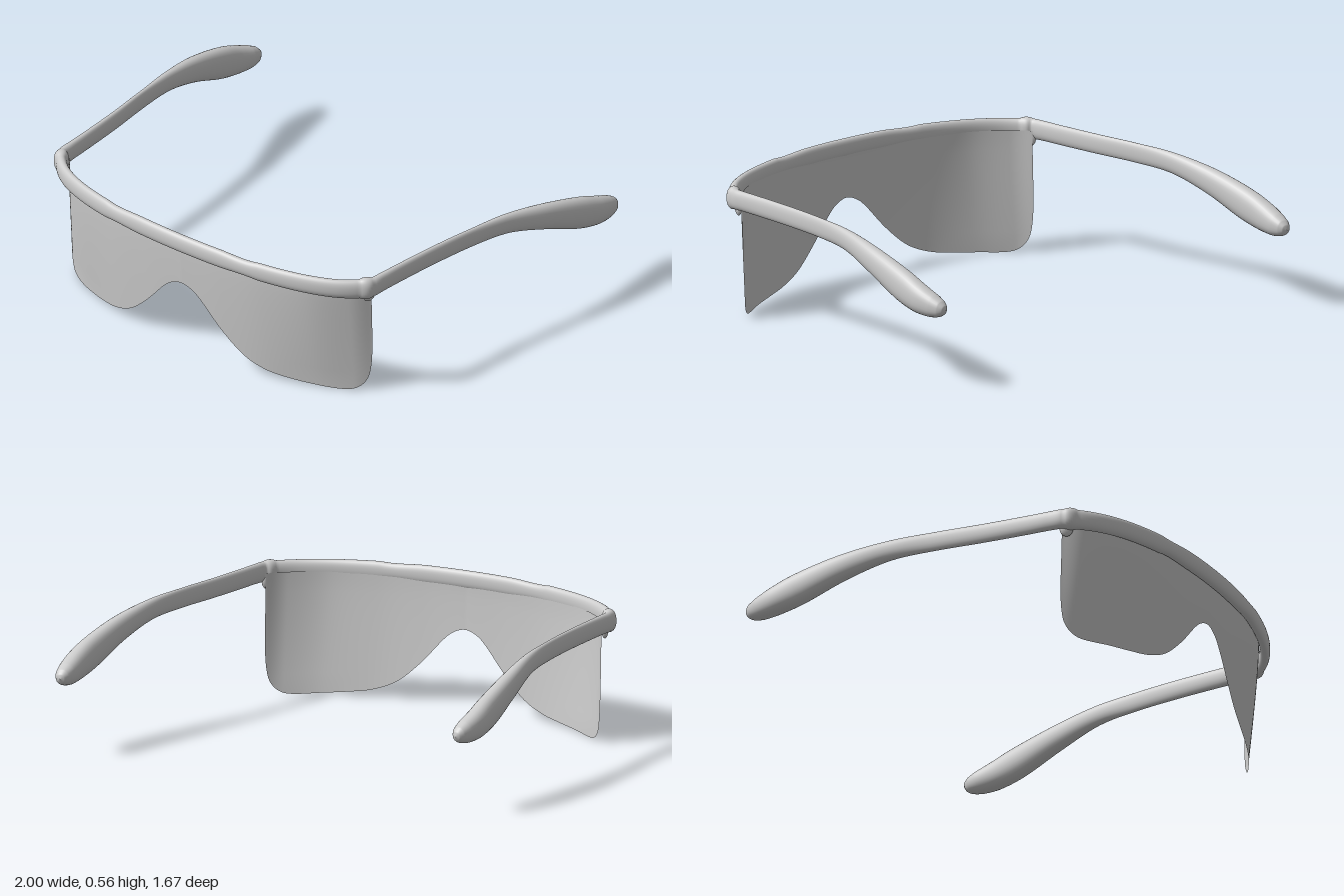
import * as THREE from 'three';

const V = (x, y, z) => new THREE.Vector3(x, y, z);
const grey = (options = {}) => new THREE.MeshStandardMaterial({ color: 0xcccccc, ...options });

// Indexed grid surface; point(i, j) gives each vertex, wrap closes the j direction
function gridSurface(rows, cols, wrap, point) {
  const pos = [], index = [];
  const n = wrap ? cols : cols + 1;
  for (let i = 0; i <= rows; i++) {
    for (let j = 0; j < n; j++) pos.push(...point(i, j).toArray());
  }
  for (let i = 0; i < rows; i++) {
    for (let j = 0; j < cols; j++) {
      const k = (j + 1) % n;
      const a = i * n + j, b = a + n, c = i * n + k, d = c + n;
      index.push(a, b, c, b, d, c);
    }
  }
  const geo = new THREE.BufferGeometry();
  geo.setAttribute('position', new THREE.Float32BufferAttribute(pos, 3));
  geo.setIndex(index);
  geo.computeVertexNormals();
  return geo;
}

// Half of the frame, from the middle of the brow to the temple tip:
// x, y, z, half width, half height
const FRAME = [
  [0, 0.524, 0.81, 0.021, 0.039],
  [0.2, 0.523, 0.803, 0.021, 0.039],
  [0.4, 0.519, 0.78, 0.021, 0.039],
  [0.6, 0.513, 0.725, 0.021, 0.04],
  [0.72, 0.508, 0.665, 0.022, 0.041],
  [0.79, 0.506, 0.605, 0.023, 0.042],
  [0.821, 0.507, 0.56, 0.023, 0.042],
  [0.827, 0.508, 0.5, 0.021, 0.041],
  [0.833, 0.508, 0.4, 0.019, 0.041],
  [0.849, 0.508, 0.2, 0.017, 0.041],
  [0.873, 0.507, 0, 0.016, 0.041],
  [0.9, 0.497, -0.2, 0.025, 0.043],
  [0.93, 0.453, -0.4, 0.038, 0.055],
  [0.949, 0.388, -0.6, 0.045, 0.067],
  [0.953, 0.357, -0.7, 0.046, 0.06],
  [0.948, 0.341, -0.77, 0.041, 0.048],
  [0.945, 0.335, -0.81, 0.031, 0.034],
  [0.943, 0.333, -0.828, 0.018, 0.019],
  [0.942, 0.332, -0.835, 0.001, 0.001],
];

function frameGeometry() {
  const left = FRAME.slice(1);
  const right = left.map(([x, ...rest]) => [-x, ...rest]).reverse();
  const stations = [...right, ...FRAME];
  const path = new THREE.CatmullRomCurve3(stations.map(([x, y, z]) => V(x, y, z)));
  const size = new THREE.CatmullRomCurve3(stations.map((s) => V(s[3], s[4], 0)));
  const rows = (stations.length - 1) * 8, sides = 28;
  const bulge = (c) => Math.sign(c) * Math.abs(c) ** 0.88;
  return gridSurface(rows, sides, true, (i, j) => {
    const t = i / rows, a = (j / sides) * Math.PI * 2;
    const tangent = path.getTangent(t);
    const out = tangent.clone().cross(V(0, 1, 0)).normalize();
    const up = out.clone().cross(tangent);
    const s = size.getPoint(t);
    return path.getPoint(t)
      .addScaledVector(out, bulge(Math.cos(a)) * s.x)
      .addScaledVector(up, bulge(Math.sin(a)) * s.y);
  });
}

// Lower edge of the lens (x, y) with the nose cut-out, one half
const LENS_EDGE = [
  [0, 0.32], [0.05, 0.306], [0.1, 0.268], [0.2, 0.16], [0.3, 0.075], [0.4, 0.033],
  [0.5, 0.017], [0.6, 0.008], [0.7, 0.001], [0.75, 0.012], [0.782, 0.052], [0.795, 0.12], [0.8, 0.22],
];
// Depth of the lens by x along the brow (top) and along the lower rim (low)
const DEPTH_X = [0, 0.2, 0.4, 0.6, 0.74, 0.8];
const splineOf = (zs) => {
  const curve = new THREE.SplineCurve(DEPTH_X.map((x, i) => new THREE.Vector2(x, zs[i])));
  const table = curve.getPoints(200);
  return (x) => {
    const k = Math.max(1, table.findIndex((p) => p.x >= x - 1e-6));
    const a = table[k - 1], b = table[k];
    return THREE.MathUtils.lerp(a.y, b.y, (x - a.x) / (b.x - a.x));
  };
};

function lensGeometry() {
  const half = LENS_EDGE.slice(1).map(([x, y]) => [-x, y]).reverse();
  const edge = new THREE.SplineCurve([...half, ...LENS_EDGE].map(([x, y]) => new THREE.Vector2(x, y)));
  const topZ = splineOf([0.795, 0.786, 0.76, 0.702, 0.612, 0.54]);
  const lowZ = splineOf([0.765, 0.757, 0.725, 0.655, 0.577, 0.525]);
  const cols = 144, rows = 12;
  return gridSurface(cols, rows, false, (i, j) => {
    const p = edge.getPoint(i / cols);
    const x = THREE.MathUtils.clamp(p.x, -0.8, 0.8);
    const y = THREE.MathUtils.lerp(p.y, 0.505, j / rows);
    const drop = THREE.MathUtils.clamp((0.48 - y) / 0.46, 0, 1);
    const z = THREE.MathUtils.lerp(topZ(Math.abs(x)), lowZ(Math.abs(x)), drop ** 1.3);
    return V(x, Math.max(0, y), z);
  });
}

export function createModel() {
  const model = new THREE.Group();
  model.name = 'shieldGlasses';

  // Brow bar and both temples in one continuous sweep
  const frame = new THREE.Mesh(frameGeometry(), grey());
  frame.name = 'browAndTemples';
  model.add(frame);

  // Single wrap-around lens
  const lens = new THREE.Mesh(lensGeometry(), grey({ side: THREE.DoubleSide }));
  lens.name = 'shieldLens';
  model.add(lens);

  // Small fillets where the lens ends meet the frame
  for (const side of [-1, 1]) {
    const hinge = new THREE.Mesh(new THREE.SphereGeometry(1, 20, 14), grey());
    hinge.name = side > 0 ? 'leftLensMount' : 'rightLensMount';
    hinge.scale.set(0.014, 0.035, 0.028);
    hinge.position.set(side * 0.803, 0.47, 0.562);
    hinge.rotation.y = side * -0.5;
    model.add(hinge);
  }
  return model;
}
